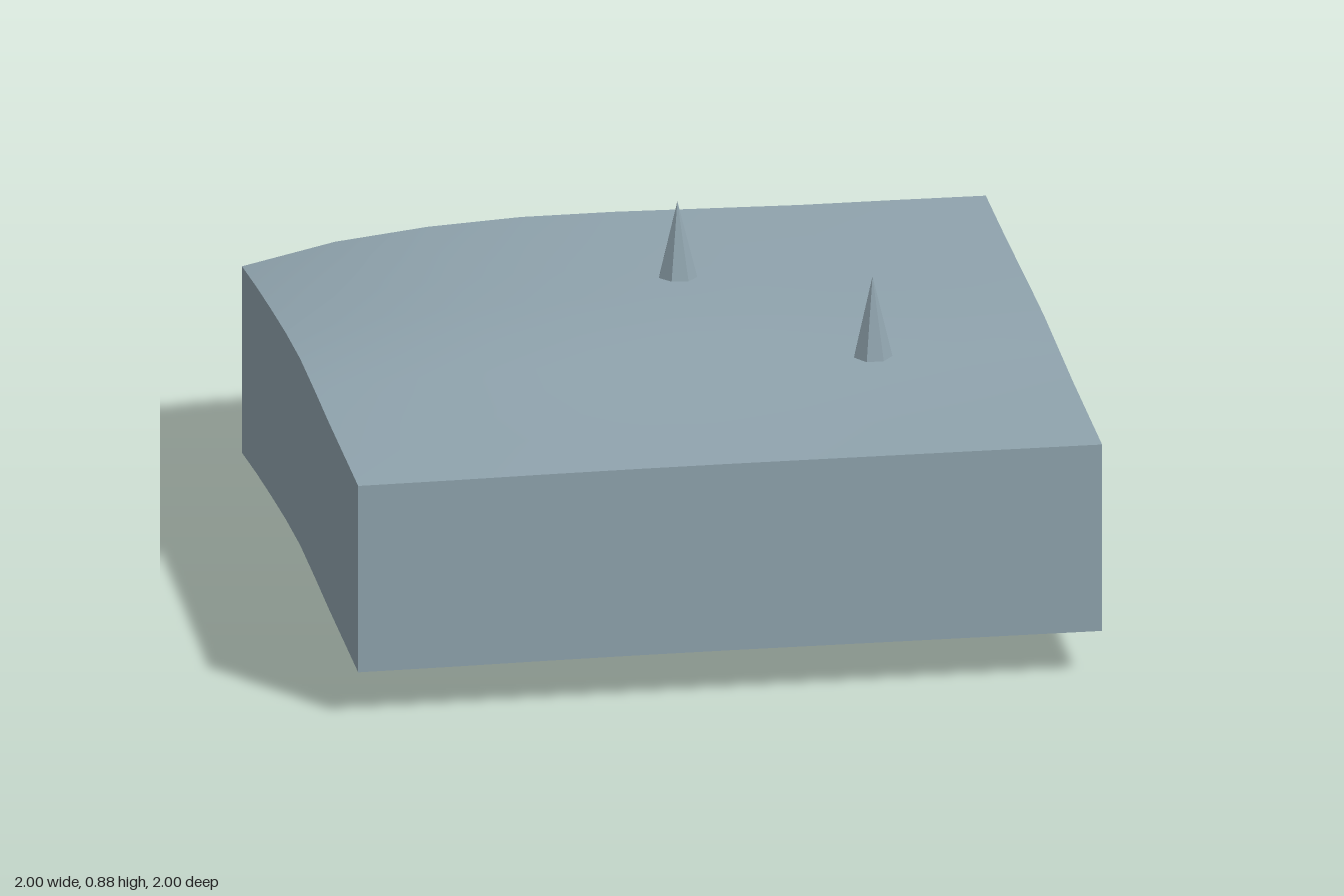
import * as THREE from 'three';

const SEG = 8, DEPTH = 0.53;
// Edge heights of the tile above y = 0, sampled every 0.25 units
const LEFT = [0.083, 0.09, 0.10, 0.111, 0.12, 0.12, 0.12, 0.125, 0.13];     // x = +1, back to front
const RIGHT = [0, 0.036, 0.067, 0.095, 0.115, 0.119, 0.12, 0.125, 0.13];    // x = -1, back to front
const BACK = [0, 0.055, 0.083, 0.096, 0.096, 0.091, 0.086, 0.085, 0.083];   // z = -1, -x to +x
const FRONT = [0.13, 0.131, 0.133, 0.134, 0.134, 0.133, 0.132, 0.131, 0.13]; // z = +1, -x to +x

const lerp = THREE.MathUtils.lerp;

function sample(list, t) {
  const i = Math.min(SEG - 1, Math.floor(t * SEG));
  return lerp(list[i], list[i + 1], t * SEG - i);
}

// Blended patch between the four edge curves
function height(x, z) {
  const u = (x + 1) / 2, v = (z + 1) / 2;
  const across = lerp(sample(RIGHT, v), sample(LEFT, v), u);
  const along = lerp(sample(BACK, u), sample(FRONT, u), v);
  const corners = lerp(lerp(BACK[0], BACK[SEG], u), lerp(FRONT[0], FRONT[SEG], u), v);
  return across + along - corners;
}

export function createModel() {
  const group = new THREE.Group();
  const slate = new THREE.MeshStandardMaterial({ color: 0x90a4ae, side: THREE.DoubleSide });
  slate.name = 'slate blue';

  const add = (name, geometry) => {
    const mesh = new THREE.Mesh(geometry, slate);
    mesh.name = name;
    group.add(mesh);
    return mesh;
  };

  // Rolling ground surface
  const ground = new THREE.PlaneGeometry(2, 2, SEG, SEG).rotateX(-Math.PI / 2);
  const g = ground.attributes.position;
  for (let i = 0; i < g.count; i++) g.setY(i, height(g.getX(i), g.getZ(i)) + DEPTH);
  ground.computeVertexNormals();
  add('groundSurface', ground);

  // Four skirt walls hanging from the edges, open underneath
  ['frontWall', 'leftWall', 'backWall', 'rightWall'].forEach((name, k) => {
    const wall = new THREE.PlaneGeometry(2, DEPTH, SEG, 1)
      .translate(0, DEPTH / 2, 1).rotateY(k * Math.PI / 2);
    const p = wall.attributes.position;
    for (let i = 0; i < p.count; i++) {
      const x = THREE.MathUtils.clamp(p.getX(i), -1, 1);
      const z = THREE.MathUtils.clamp(p.getZ(i), -1, 1);
      p.setXYZ(i, x, p.getY(i) + height(x, z), z);
    }
    add(name, wall);
  });

  // Seven-sided spikes standing on the ground
  [[0.08, -0.42, 0.87], [0.5, 0.25, 0.885]].forEach(([x, z, tip], i) => {
    const base = height(x, z) + DEPTH;
    const cone = new THREE.ConeGeometry(0.053, tip - base, 7).rotateY(Math.PI).toNonIndexed();
    cone.computeVertexNormals();
    add('spike' + (i + 1), cone).position.set(x, (tip + base) / 2, z);
  });

  return group;
}
